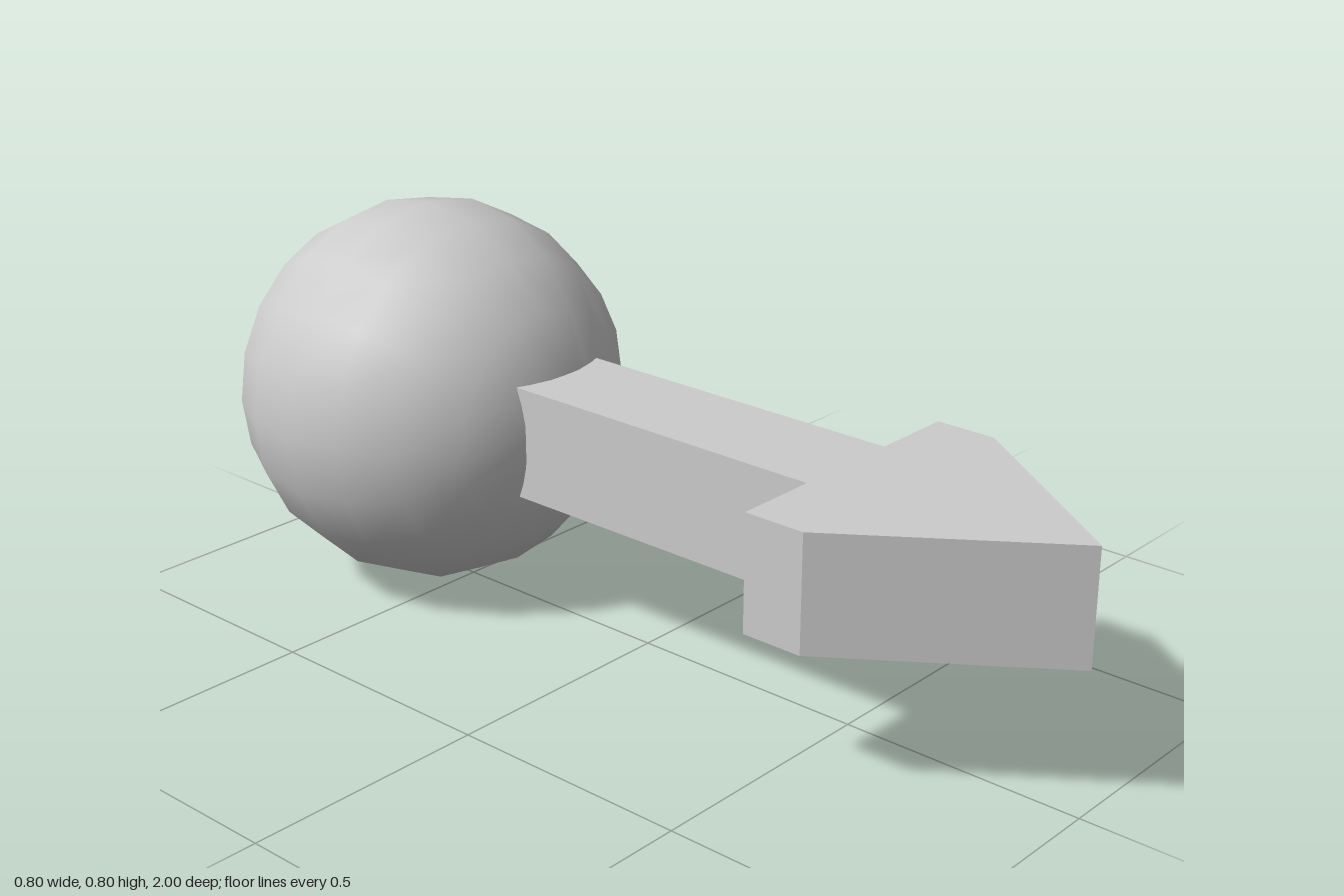
import * as THREE from 'three';

export function createModel() {
  const group = new THREE.Group();
  const material = new THREE.MeshStandardMaterial({ color: 0xcccccc });

  // Smooth ball with its poles on the z axis
  const ball = new THREE.Mesh(new THREE.SphereGeometry(0.4, 20, 10), material);
  ball.name = 'ball';
  ball.rotation.x = Math.PI / 2;
  ball.position.set(0, 0.4, -0.6);
  group.add(ball);

  // Flat arrow: half outline in (x, z), mirrored, then extruded upward
  const half = [[0.114, -0.26], [0.114, 0.475], [0.284, 0.475], [0.284, 0.6]];
  const outline = [
    ...half,
    [0, 1],
    ...half.map(([x, z]) => [-x, z]).reverse(),
  ].map(([x, z]) => new THREE.Vector2(x, -z));
  const bottom = 0.287, top = 0.518;
  const arrowGeometry = new THREE.ExtrudeGeometry(new THREE.Shape(outline), {
    depth: top - bottom,
    bevelEnabled: false,
  });
  arrowGeometry.rotateX(-Math.PI / 2);
  const arrow = new THREE.Mesh(arrowGeometry, material);
  arrow.name = 'arrow';
  arrow.position.y = bottom;
  group.add(arrow);

  return group;
}
